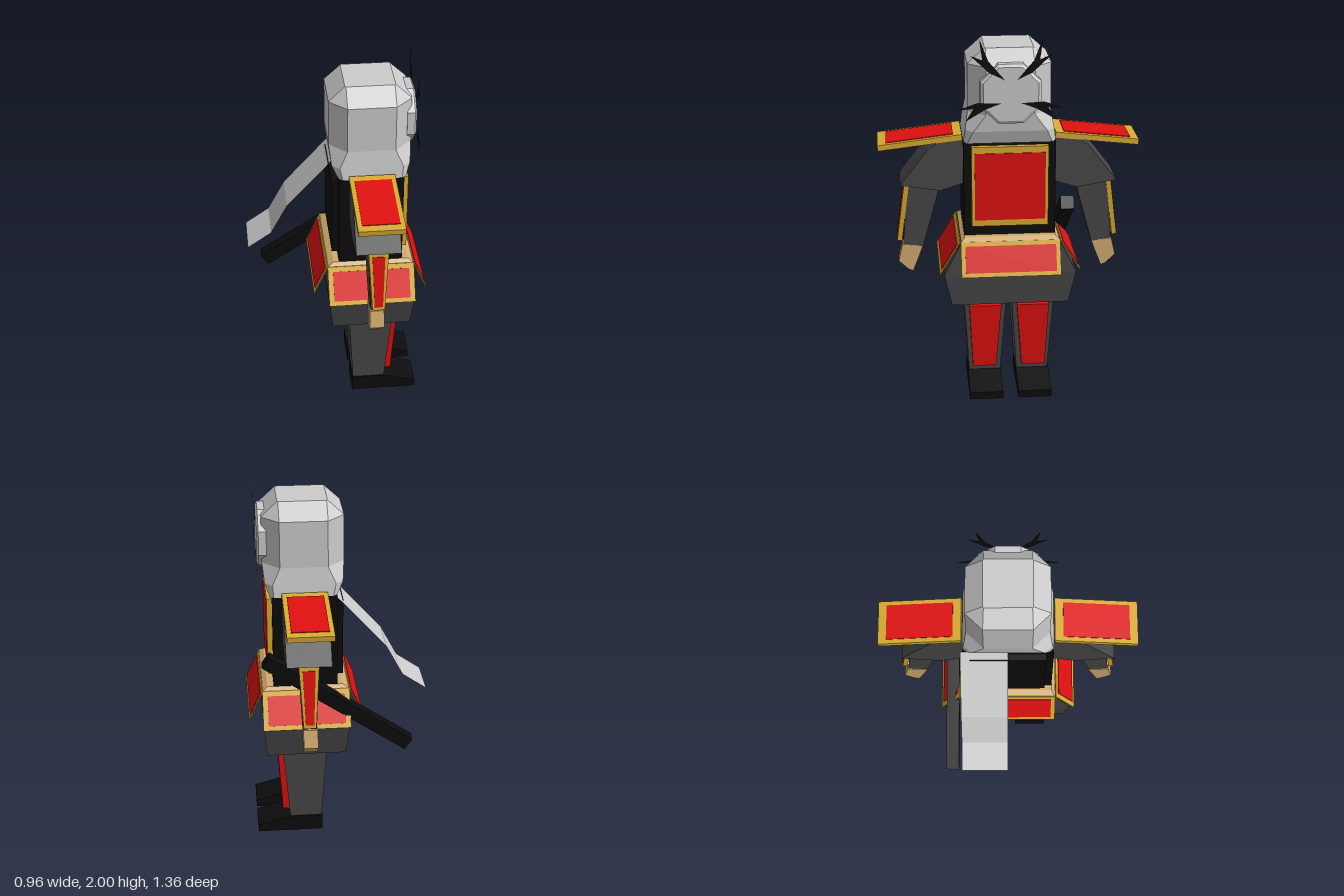
import * as THREE from 'three';

const GREY = 0xcccccc, DARK = 0x484848, BLACK = 0x0c0c0c;
const RED = 0xe01010, GOLD = 0xd8ac30, SKIN = 0xd2ab70;

export function createModel() {
  const model = new THREE.Group();
  const V = (p) => new THREE.Vector3(...p);

  function addMesh(name, geometry, color, side = THREE.FrontSide) {
    const material = new THREE.MeshStandardMaterial({ color, flatShading: true, side });
    const mesh = new THREE.Mesh(geometry, material);
    mesh.name = name;
    model.add(mesh);
    return mesh;
  }

  // Closed solid through rings of equal point count, turned outward by its signed volume
  function loft(name, color, rings) {
    const n = rings[0].length, tris = [];
    for (let r = 0; r < rings.length - 1; r++) {
      const a = rings[r], b = rings[r + 1];
      for (let i = 0; i < n; i++) {
        const j = (i + 1) % n;
        tris.push([a[i], a[j], b[j]], [a[i], b[j], b[i]]);
      }
    }
    const top = rings[rings.length - 1], bottom = rings[0];
    for (let i = 1; i < n - 1; i++) {
      tris.push([top[0], top[i], top[i + 1]], [bottom[0], bottom[i + 1], bottom[i]]);
    }
    const o = V(bottom[0]);
    let volume = 0;
    for (const [a, b, c] of tris) volume += V(a).sub(o).dot(V(b).sub(o).cross(V(c).sub(o)));
    if (volume < 0) tris.forEach((t) => t.reverse());
    const g = new THREE.BufferGeometry();
    g.setAttribute('position', new THREE.Float32BufferAttribute(tris.flat(2), 3));
    g.computeVertexNormals();
    return addMesh(name, g, color);
  }

  // Horizontal rectangle, optionally with cut corners
  const rect = (y, x0, x1, z0, z1) => [[x0, y, z0], [x0, y, z1], [x1, y, z1], [x1, y, z0]];
  const octagon = (y, x0, x1, z, c) => [
    [x0 + c, y, -z], [x0, y, -z + c], [x0, y, z - c], [x0 + c, y, z],
    [x1 - c, y, z], [x1, y, z - c], [x1, y, -z + c], [x1 - c, y, -z]];

  // Gold plate with a red inset on its outer face; quad is the outer face
  function panel(name, quad, thickness, out, mu, mv, frame = GOLD) {
    const [a, b, c, d] = quad.map(V);
    const n = b.clone().sub(a).cross(d.clone().sub(a)).normalize();
    if (n.dot(V(out)) < 0) n.negate();
    const shift = (pts, t) => pts.map((p) => p.clone().addScaledVector(n, t).toArray());
    const at = (u, v) => a.clone().lerp(b, u).lerp(d.clone().lerp(c, u), v);
    const inner = [at(mu, mv), at(1 - mu, mv), at(1 - mu, 1 - mv), at(mu, 1 - mv)];
    loft(name + 'Frame', frame, [shift([a, b, c, d], -thickness), shift([a, b, c, d], 0)]);
    loft(name + 'Inset', RED, [shift(inner, -0.002), shift(inner, 0.004)]);
  }

  // Hood and head
  loft('head', GREY, [
    octagon(1.43, 0, 0.35, 0.24, 0.02),
    octagon(1.5, -0.035, 0.375, 0.23, 0.04),
    octagon(1.59, -0.045, 0.385, 0.215, 0.09),
    octagon(1.84, -0.045, 0.385, 0.215, 0.09),
    octagon(1.92, 0.04, 0.3, 0.125, 0.005)]);

  // Face mask
  const maskRing = (x, r) => Array.from({ length: 8 }, (_, i) => {
    const t = (i + 0.5) * Math.PI / 4, k = r / Math.cos(Math.PI / 8);
    return [x, 1.705 + k * Math.sin(t), k * Math.cos(t)];
  });
  loft('faceMask', GREY, [maskRing(0.36, 0.155), maskRing(0.4, 0.155), maskRing(0.41, 0.14)]);

  // Flat forked crest and whiskers, as [z, y]
  const antler = [[0.03, 1.78], [0.11, 1.82], [0.205, 1.91], [0.145, 1.885], [0.16, 1.995], [0.115, 1.88]];
  const whisker = [[0.05, 1.66], [0.17, 1.665], [0.27, 1.63], [0.19, 1.635], [0.23, 1.57], [0.13, 1.63]];
  for (const s of [1, -1]) {
    for (const [name, pts] of [['antler', antler], ['whisker', whisker]]) {
      const shape = new THREE.Shape(pts.map(([z, y]) => new THREE.Vector2(-z * s, y)));
      const g = new THREE.ShapeGeometry(shape).rotateY(Math.PI / 2).translate(0.414, 0, 0);
      addMesh(name, g, BLACK, THREE.DoubleSide);
    }
  }

  // Hair ribbon: one bent sheet behind the head
  const hair = new THREE.PlaneGeometry(1, 1, 1, 3);
  const hairPath = [[0, 1.43], [-0.26, 1.14], [-0.35, 0.97], [-0.48, 0.88]];
  for (let i = 0; i < 8; i++) {
    const [x, y] = hairPath[i >> 1];
    hair.attributes.position.setXYZ(i, x, y, i % 2 ? 0 : -0.25);
  }
  addMesh('hairRibbon', hair, GREY, THREE.DoubleSide);

  // Torso, back plate and chest panel
  loft('torso', BLACK, [rect(0.9, 0, 0.34, -0.24, 0.24), rect(1.435, 0, 0.34, -0.24, 0.24)]);
  loft('backPlate', BLACK, [rect(0.965, -0.035, 0.01, -0.2, 0.2), rect(1.395, -0.035, 0.01, -0.2, 0.2)]);
  panel('chestPanel', [[0.368, 0.98, -0.2], [0.368, 0.98, 0.2], [0.368, 1.415, 0.2], [0.368, 1.415, -0.2]],
    0.03, [1, 0, 0], 0.04, 0.08);

  // Skirt and belt rim
  loft('skirt', DARK, [
    rect(0.54, -0.04, 0.385, -0.31, 0.31),
    rect(0.72, -0.06, 0.4, -0.35, 0.35),
    rect(0.9, -0.06, 0.4, -0.26, 0.26)]);
  loft('beltRim', SKIN, [
    rect(0.895, -0.06, 0.4, -0.26, 0.26),
    rect(0.905, -0.06, 0.4, -0.26, 0.26),
    rect(0.922, -0.03, 0.375, -0.24, 0.24)]);

  // Flared skirt panels on all four sides
  for (const s of [1, -1]) {
    const xt = s > 0 ? 0.402 : -0.064, xb = xt + s * 0.075;
    panel('skirtPanel', [[xb, 0.735, -0.262], [xb, 0.735, 0.262], [xt, 0.905, 0.262], [xt, 0.905, -0.262]],
      0.004, [s, 0.4, 0], 0.045, 0.12);
    panel('skirtSidePanel', [[-0.064, 0.725, s * 0.374], [0.404, 0.725, s * 0.374],
      [0.404, 0.905, s * 0.266], [-0.064, 0.905, s * 0.266]], 0.004, [0, 0.4, s], 0.06, 0.12);
  }

  // Arms, legs and feet, mirrored across z
  for (const s of [1, -1]) {
    // Wide sleeve: side profile [z, y] swept across x
    const profile = [[0.22, 1.435], [0.37, 1.42], [0.42, 1.385], [0.57, 1.19], [0.36, 1.155], [0.22, 1.2]];
    loft('sleeve', DARK, [0.055, 0.288].map((x) => profile.map(([z, y]) => [x, y, s * z])));
    const limb = (pts) => pts.map(([y, x0, x1, zi, zo, yo = y]) => [
      [x0, y, s * zi], [x1, y, s * zi], [x1, yo, s * zo], [x0, yo, s * zo]]);
    loft('forearm', DARK, limb([
      [0.81, 0.135, 0.205, 0.455, 0.56, 0.83], [1.16, 0.12, 0.22, 0.36, 0.53, 1.2]]));
    loft('hand', SKIN, limb([
      [0.67, 0.13, 0.205, 0.51, 0.535, 0.68], [0.76, 0.13, 0.205, 0.475, 0.587, 0.73],
      [0.815, 0.13, 0.205, 0.455, 0.565, 0.825]]));
    panel('forearmGuard', [[0.14, 0.85, s * 0.592], [0.205, 0.85, s * 0.592],
      [0.225, 1.18, s * 0.548], [0.12, 1.18, s * 0.548]], 0.026, [0, 0, s], 0.18, 0.06);
    panel('shoulderPlate', [[0.05, 1.462, s * 0.245], [0.29, 1.462, s * 0.245],
      [0.29, 1.412, s * 0.682], [0.05, 1.412, s * 0.682]], 0.03, [0, 1, 0], 0.1, 0.1);

    loft('leg', DARK, limb([[0.08, 0.085, 0.26, 0.045, 0.215], [0.56, 0.055, 0.3, 0.012, 0.245]]));
    loft('shinGuard', RED, limb([
      [0.13, 0.255, 0.3, 0.07, 0.197], [0.5, 0.28, 0.324, 0.042, 0.215]]));
    const sole = [[0.08, 0], [0.44, 0], [0.44, 0.04], [0.265, 0.09], [0.08, 0.09]];
    loft('foot', BLACK, [0.042, 0.222].map((z) => sole.map(([x, y]) => [x, y, s * z])));
  }

  // Sheathed blade slung across the right hip
  const blade = addMesh('sheath', new THREE.BoxGeometry(0.92, 0.072, 0.07), BLACK);
  blade.position.set(0.003, 0.85, -0.305);
  blade.rotation.set(0, -0.02, Math.atan2(0.51, 0.755));

  return model;
}
